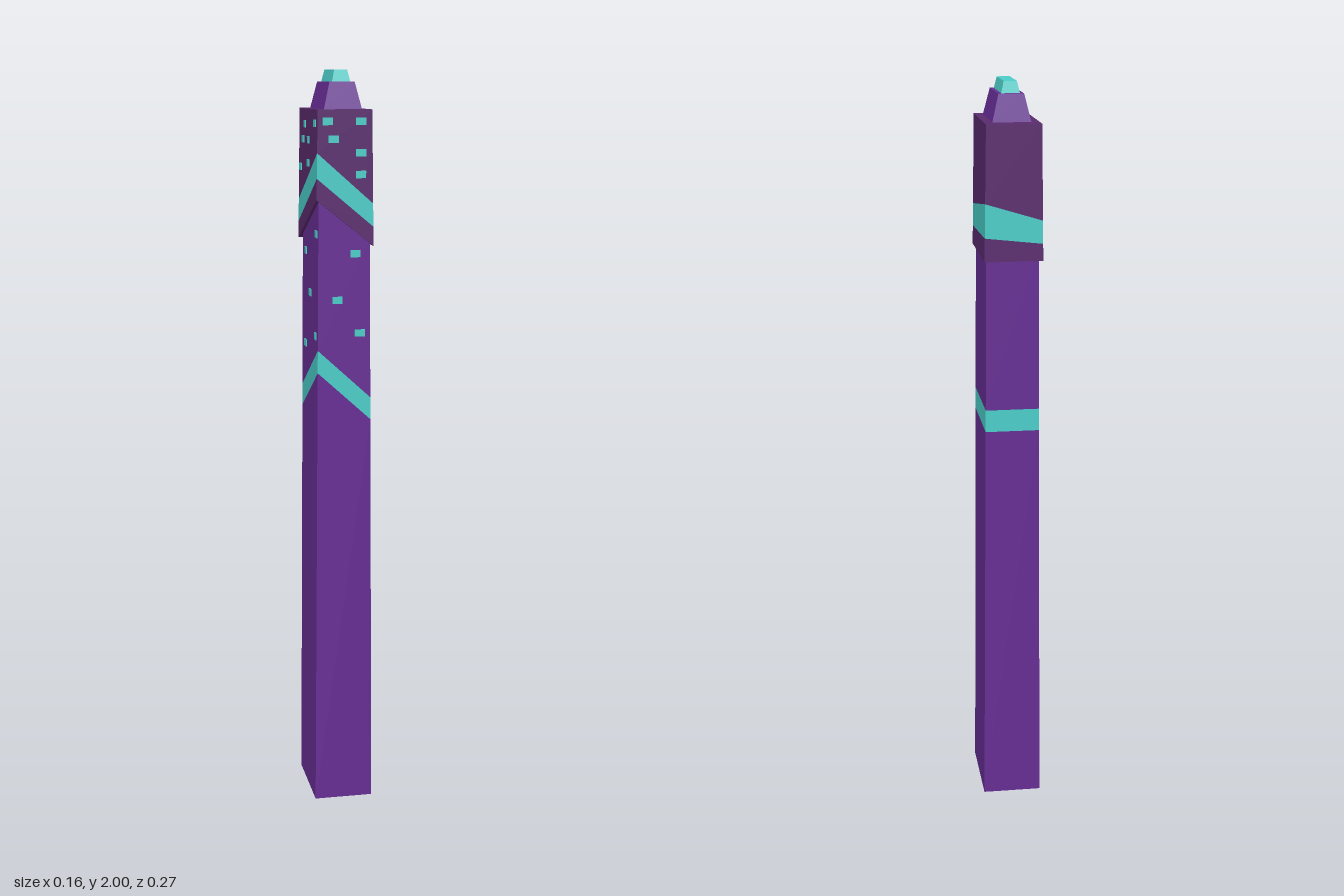
import * as THREE from 'three';

const material = (color) =>
  new THREE.MeshStandardMaterial({ color, flatShading: true, side: THREE.DoubleSide });

// Ring of four corners: front-left, front-right, back-right, back-left as seen from the front.
// heights: one y per corner; halfX: function of y giving the half width.
function ring(heights, halfX, zFront, zBack) {
  return heights.map((y, i) =>
    [(i === 0 || i === 3 ? -1 : 1) * halfX(y), y, i < 2 ? zFront : zBack]);
}

// Four-sided section between two rings, with optional end caps.
function section(name, mat, low, high, capBottom = false, capTop = false) {
  const pos = [];
  const quad = (a, b, c, d) => pos.push(...a, ...b, ...c, ...a, ...c, ...d);
  for (let i = 0; i < 4; i++) {
    const j = (i + 1) % 4;
    quad(low[i], low[j], high[j], high[i]);
  }
  if (capTop) quad(...high);
  if (capBottom) {
    // split along the diagonal from the raised front corner
    const [a, b, c, d] = low;
    pos.push(...a, ...c, ...b, ...a, ...d, ...c);
  }
  const geometry = new THREE.BufferGeometry();
  geometry.setAttribute('position', new THREE.Float32BufferAttribute(pos, 3));
  geometry.computeVertexNormals();
  const mesh = new THREE.Mesh(geometry, mat);
  mesh.name = name;
  return mesh;
}

export function createModel() {
  const model = new THREE.Group();
  model.name = 'tower';
  const purple = material(0x662d94);
  const plum = material(0x5a2a6e);
  const teal = material(0x4bcdc8);

  // Tapering hollow shaft with a slanted light band
  const shaftX = (y) => 0.08 - 0.0072 * y;
  const shaft = (h) => ring(h, shaftX, 0.125, -0.11);
  const s0 = shaft([0, 0, 0, 0]);
  const s1 = shaft([1.215, 1.085, 1.085, 1.085]);
  const s2 = shaft([1.275, 1.145, 1.145, 1.145]);
  const s3 = shaft([1.69, 1.57, 1.57, 1.57]);
  model.add(
    section('lowerShaft', purple, s0, s1),
    section('shaftBand', teal, s1, s2),
    section('upperShaft', purple, s2, s3));

  // Wider head with a raised front corner and its own band
  const headX = (y) => 0.0765 - 0.0143 * (y - 1.55);
  const head = (h) => ring(h, headX, 0.134, -0.137);
  const h0 = head([1.67, 1.55, 1.55, 1.55]);
  const h1 = head([1.725, 1.6, 1.612, 1.595]);
  const h2 = head([1.79, 1.66, 1.7, 1.655]);
  const h3 = head([1.9, 1.9, 1.9, 1.9]);
  model.add(
    section('headRim', plum, h0, h1, true),
    section('headBand', teal, h1, h2),
    section('headBlock', plum, h2, h3, false, true));

  // Stepped roof and lantern
  const flat = (y, x, zf, zb) => ring([y, y, y, y], () => x, zf, zb);
  model.add(
    section('roof', purple, flat(1.9, 0.05, 0.107, -0.095), flat(1.97, 0.033, 0.094, -0.082), false, true),
    section('lantern', teal, flat(1.97, 0.024, 0.082, -0.07), flat(2, 0.017, 0.075, -0.063), false, true));

  // Small lit windows
  const windows = new THREE.Group();
  windows.name = 'windows';
  const addWindow = (x, y, z, w, d) => {
    const pane = new THREE.Mesh(new THREE.BoxGeometry(w, 0.019, d), teal);
    pane.position.set(x, y, z);
    pane.name = 'window';
    windows.add(pane);
  };
  const frontWindows = [[-0.045, 1.87], [0.042, 1.87], [-0.03, 1.825], [0.042, 1.79],
    [0.042, 1.735], [0.03, 1.53], [-0.018, 1.408], [0.042, 1.32]];
  for (const [x, y] of frontWindows) addWindow(x, y, y > 1.6 ? 0.134 : 0.125, 0.027, 0.006);
  const sideWindows = [[0.1, 1.865], [-0.045, 1.86], [0.01, 1.82], [-0.07, 1.82], [0.01, 1.76],
    [-0.105, 1.745], [0.1, 1.58], [-0.055, 1.523], [0.015, 1.417], [0.095, 1.31], [-0.055, 1.27]];
  for (const [z, y] of sideWindows) addWindow(-(y > 1.6 ? headX(y) : shaftX(y)), y, z, 0.006, 0.027);
  model.add(windows);

  return model;
}
